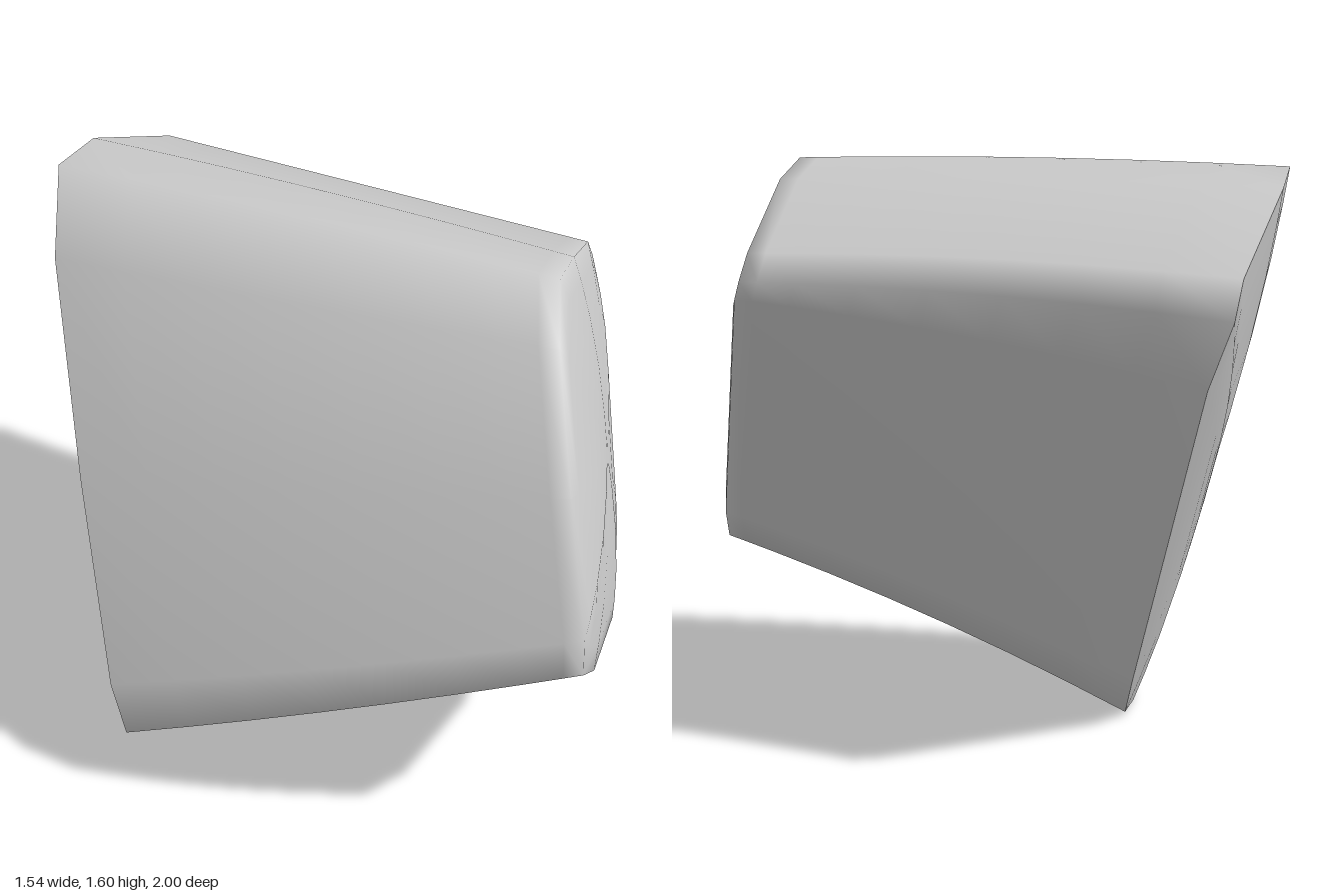
import * as THREE from 'three';

// Matching cross-sections, three points per corner plus one on the bowed front edge
const BASE = [
  [-.39, 1.55, -.73], [-.55, 1.59, -.56], [-.64, 1.42, -.38],
  [-.72, .91, -.08], [-.77, .39, .18], [-.75, .23, .22], [-.65, .13, .14],
  [-.39, 0, -.1], [-.29, .01, -.2], [-.23, .15, -.32],
  [-.03, 1.08, -.9], [-.03, 1.26, -1], [-.07, 1.36, -.98],
].map(p => new THREE.Vector3(...p));
const TIP = [
  [.5, 1.54, .38], [.37, 1.59, .52], [.3, 1.48, .65],
  [.25, 1.16, .83], [.22, .83, .99], [.22, .72, 1], [.31, .63, .92],
  [.55, .5, .65], [.6, .49, .57], [.64, .58, .5],
  [.77, 1.25, .1], [.77, 1.3, .07], [.73, 1.37, .1],
].map(p => new THREE.Vector3(...p));

const N = BASE.length;
const centre = ring => ring.reduce((s, p) => s.add(p), new THREE.Vector3()).divideScalar(ring.length);

// Rings shrinking toward the middle of an end, pushed along its axis into a shallow dome
function dome(ring, axis, height) {
  const c = centre(ring);
  return [.12, .3, .55, .8].map(k => ring.map(p =>
    p.clone().lerp(c, k).addScaledVector(axis, height * (1 - (1 - k) ** 2.5))));
}

// Skin a list of rings and close the last one with a fan
function loft(rings) {
  const points = rings.flat(), index = [];
  for (let r = 0; r < rings.length - 1; r++) {
    for (let i = 0; i < N; i++) {
      const j = (i + 1) % N, a = r * N, b = a + N;
      index.push(a + i, a + j, b + j, a + i, b + j, b + i);
    }
  }
  const last = (rings.length - 1) * N;
  points.push(centre(rings[rings.length - 1]));
  for (let i = 0; i < N; i++) index.push(points.length - 1, last + i, last + (i + 1) % N);
  const g = new THREE.BufferGeometry().setFromPoints(points);
  g.setIndex(index);
  g.computeVertexNormals();
  return g;
}

export function createModel() {
  const group = new THREE.Group();
  group.name = 'taperedBlock';
  const material = new THREE.MeshStandardMaterial({ color: 0xcccccc });
  const add = (name, geometry) => {
    const mesh = new THREE.Mesh(geometry, material);
    mesh.name = name;
    group.add(mesh);
  };

  // Tapered sides: crowned on top and in front, slightly hollow at the back
  const crown = new THREE.Vector3(0, .012, 0);
  const bulge = new THREE.Vector3(-.015, .008, .02);
  const hollow = new THREE.Vector3(-.017, .015, .016);
  const bend = i => (i < 2 ? crown : i < 7 ? bulge : hollow);
  const rings = [0, .15, .3, .45, .6, .75, .88, .96, 1].map(t => BASE.map((p, i) =>
    p.clone().lerp(TIP[i], t).addScaledVector(bend(i), 4 * t * (1 - t))));

  // Body with its domed small end, softly shaded across the rim
  const tipAxis = new THREE.Vector3(.795, .19, .574);
  add('body', loft([...rings, ...dome(TIP, tipAxis, .05)]));

  // Shallow domed large end with a sharp rim
  const baseAxis = new THREE.Vector3(-.704, -.263, -.66);
  const rim = [...BASE].reverse();
  add('base', loft([rim, ...dome(rim, baseAxis, .04)]));
  return group;
}
